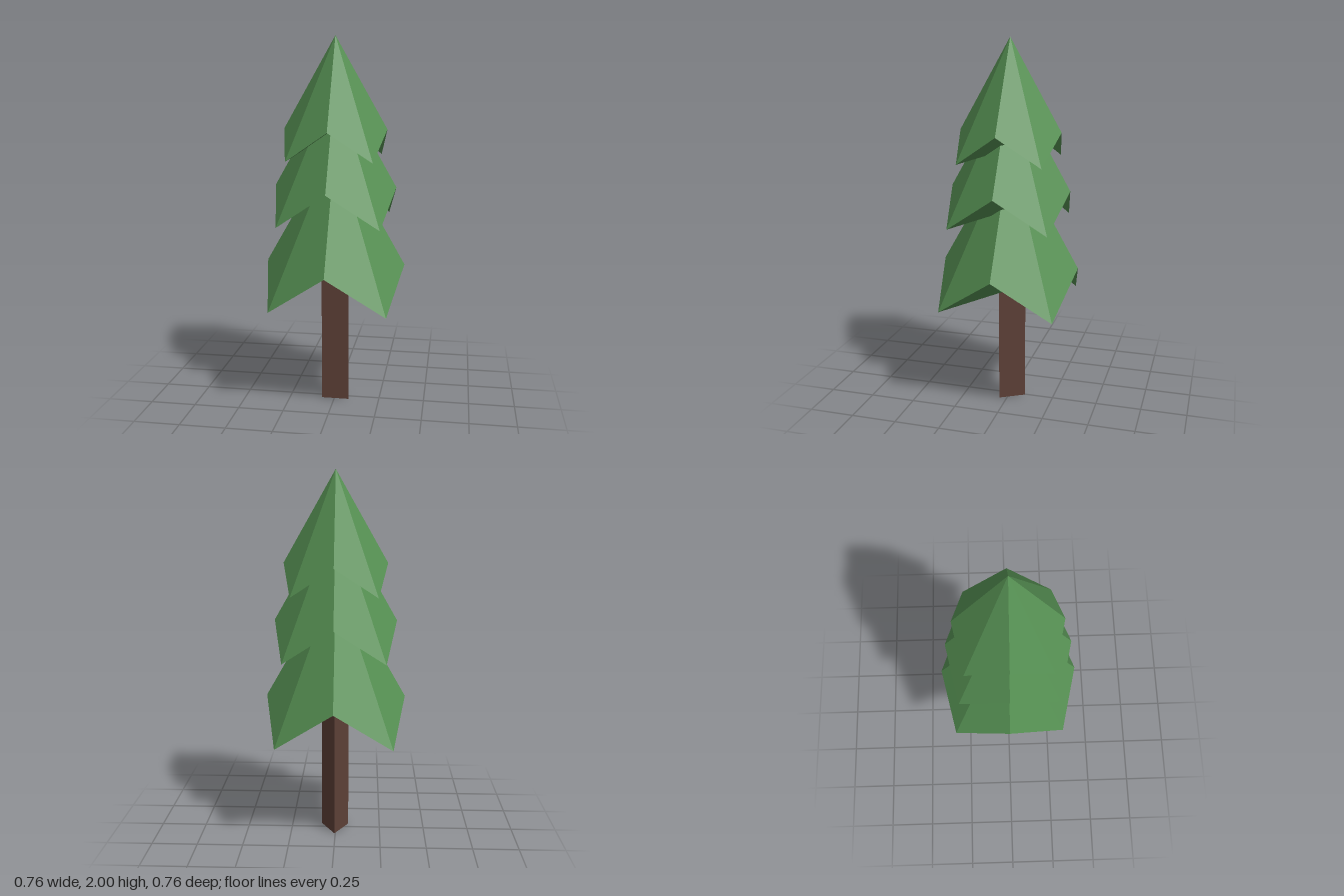
import * as THREE from 'three';

const green = new THREE.MeshStandardMaterial({ color: 0x558f52, flatShading: true });
const brown = new THREE.MeshStandardMaterial({ color: 0x5d4037, flatShading: true });

// Eight-sided pyramid whose rim zigzags between high notches and low corner tips
function tierGeometry({ apex, notchR, notchY, tipR, tipY }) {
  const top = new THREE.Vector3(0, apex, 0);
  const rim = [];
  for (let i = 0; i < 8; i++) {
    const a = Math.PI + (i * Math.PI) / 4; // starts at the back notch
    const tip = i % 2 === 1;
    const r = tip ? tipR * Math.SQRT2 : notchR;
    rim.push(new THREE.Vector3(Math.sin(a) * r, tip ? tipY : notchY, Math.cos(a) * r));
  }
  const points = [];
  // sloping sides
  for (let i = 0; i < 8; i++) points.push(rim[i], rim[(i + 1) % 8], top);
  // underside, fanned from the back notch
  for (let i = 1; i < 7; i++) points.push(rim[0], rim[i + 1], rim[i]);
  const geometry = new THREE.BufferGeometry().setFromPoints(points);
  geometry.computeVertexNormals();
  return geometry;
}

export function createModel() {
  const tree = new THREE.Group();
  tree.name = 'pineTree';

  // Three-sided trunk with its flat side to the front and green ends
  const trunk = new THREE.Mesh(
    new THREE.CylinderGeometry(0.087, 0.087, 0.76, 3, 1, false, Math.PI),
    [brown, green, green]
  );
  trunk.name = 'trunk';
  trunk.position.set(0.005, 0.38, -0.002);
  tree.add(trunk);

  // Foliage tiers, from the bottom up
  const tiers = [
    { name: 'lowerFoliage', apex: 1.45, notchR: 0.38, notchY: 0.785, tipR: 0.311, tipY: 0.574 },
    { name: 'middleFoliage', apex: 1.785, notchR: 0.33, notchY: 1.207, tipR: 0.27, tipY: 1.022 },
    { name: 'upperFoliage', apex: 2, notchR: 0.278, notchY: 1.515, tipR: 0.227, tipY: 1.36 },
  ];
  for (const tier of tiers) {
    const mesh = new THREE.Mesh(tierGeometry(tier), green);
    mesh.name = tier.name;
    tree.add(mesh);
  }
  return tree;
}
